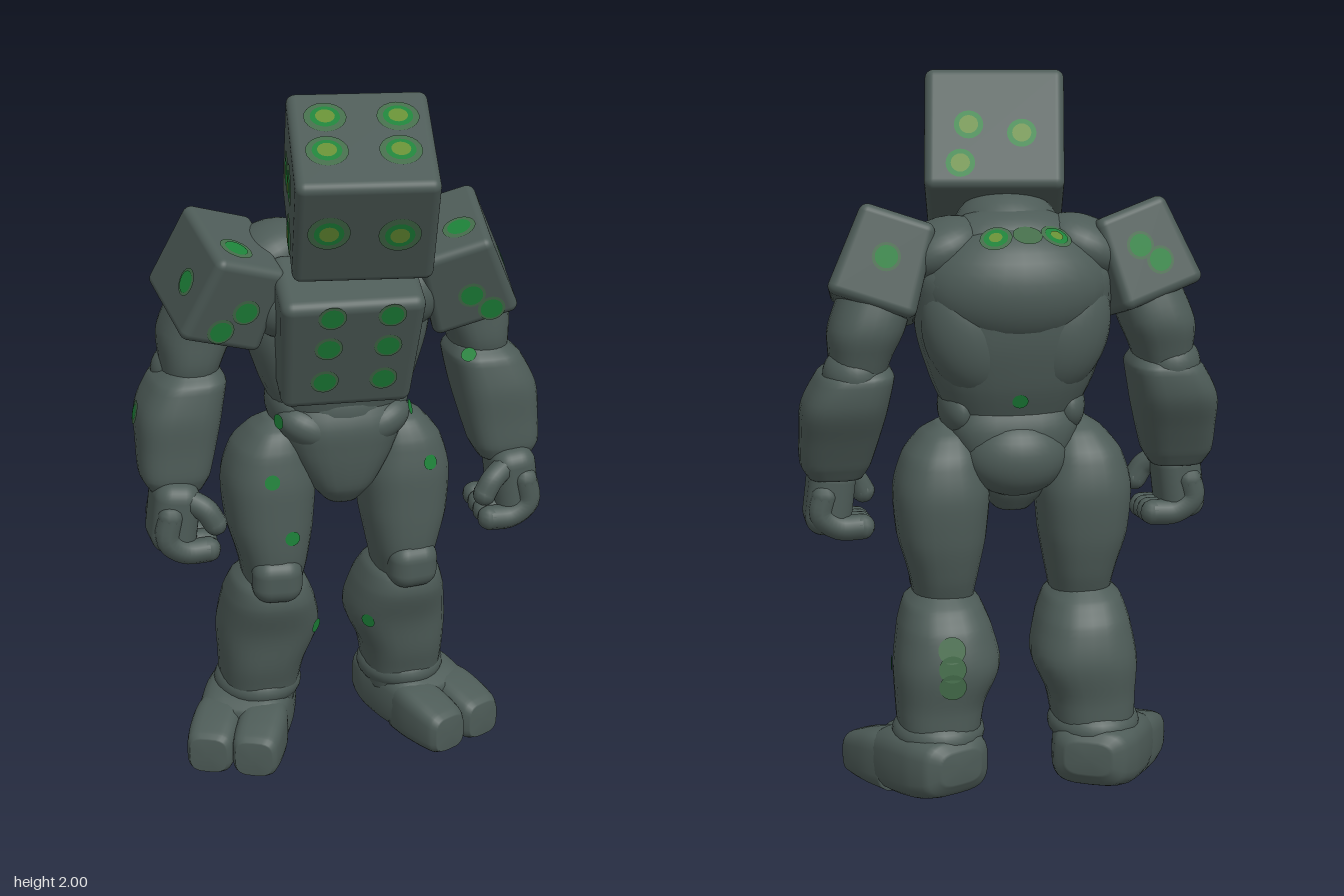
import * as THREE from 'three';
import { RoundedBoxGeometry } from 'three/addons/geometries/RoundedBoxGeometry.js';

const material = (name, color) => Object.assign(new THREE.MeshStandardMaterial({ color }), { name });

export function createModel() {
  const root = new THREE.Group();
  root.name = 'diceGolem';
  const stone = material('stone', 0x4d5b57);
  const glow = material('pipGlow', 0x446c4a);
  const green = material('pipGreen', 0x1d8239);
  const core = material('pipCore', 0x668e34);

  const add = (name, geometry, parent = root, mat = stone) => {
    const mesh = new THREE.Mesh(geometry, mat);
    mesh.name = name;
    parent.add(mesh);
    return mesh;
  };

  // Smooth body along y; sections rise as [y, cx, cz, rx, rz], n sets how boxy they are
  const loft = (sections, n = 2.5, around = 28) => {
    const centres = new THREE.CatmullRomCurve3(sections.map(s => new THREE.Vector3(s[1], s[0], s[2])));
    const radii = new THREE.CatmullRomCurve3(sections.map(s => new THREE.Vector3(s[3], s[4], 0)));
    const rings = (sections.length - 1) * 5;
    const pos = [], idx = [];
    const soft = v => Math.sign(v) * Math.abs(v) ** (2 / n);
    for (let i = -1; i <= rings + 1; i++) {
      const t = Math.min(Math.max(i / rings, 0), 1);
      const c = centres.getPoint(t), r = radii.getPoint(t);
      const k = i < 0 || i > rings ? 0 : 1; // closed ends
      for (let j = 0; j < around; j++) {
        const a = j / around * Math.PI * 2;
        pos.push(c.x + k * r.x * soft(Math.cos(a)), c.y, c.z + k * r.y * soft(Math.sin(a)));
      }
    }
    for (let i = 0; i < rings + 2; i++) {
      for (let j = 0; j < around; j++) {
        const a = i * around + j, b = i * around + (j + 1) % around;
        idx.push(a, a + around, b, b, a + around, b + around);
      }
    }
    const g = new THREE.BufferGeometry();
    g.setAttribute('position', new THREE.Float32BufferAttribute(pos, 3));
    g.setIndex(idx);
    g.computeVertexNormals();
    return g;
  };

  const blob = (name, p, r, tilt = 0) => {
    const mesh = add(name, new THREE.SphereGeometry(1, 28, 18));
    mesh.position.set(...p);
    mesh.scale.set(...r);
    mesh.rotation.z = tilt;
  };

  // Rounded block whose width changes with height by the given taper
  const block = (name, size, p, rot, radius = 0.025, taper = 0) => {
    const g = new RoundedBoxGeometry(...size, 4, radius);
    const v = g.attributes.position;
    for (let i = 0; i < v.count; i++) v.setX(i, v.getX(i) * (1 + v.getY(i) * taper));
    const mesh = add(name, g);
    mesh.position.set(...p);
    mesh.rotation.set(...rot, 'YXZ');
  };

  // Head and chest blocks
  block('head', [0.38, 0.345, 0.385], [0.008, 1.772, 0.11], [0.47, -0.17, 0]);
  block('chestBlock', [0.38, 0.37, 0.24], [-0.02, 1.355, 0.05], [0.39, -0.08, 0], 0.03, 0.25);

  // Torso
  blob('neck', [0, 1.57, -0.04], [0.15, 0.12, 0.15]);
  add('ribcage', loft([[1.06, 0, -0.1, 0.17, 0.12], [1.18, 0, -0.11, 0.225, 0.16], [1.33, 0, -0.12, 0.268, 0.18],
    [1.46, 0, -0.13, 0.27, 0.175], [1.56, 0, -0.12, 0.2, 0.13], [1.61, 0, -0.11, 0.1, 0.08]]));
  blob('upperBack', [0, 1.44, -0.175], [0.255, 0.17, 0.16]);
  blob('collar', [0, 1.55, -0.11], [0.2, 0.1, 0.13]);
  blob('abdomen', [0, 1.09, -0.09], [0.185, 0.13, 0.13]);
  add('pelvis', loft([[0.81, 0, -0.09, 0.05, 0.08], [0.86, 0, -0.09, 0.095, 0.115], [0.96, 0, -0.1, 0.155, 0.145],
    [1.05, 0, -0.1, 0.185, 0.15], [1.13, 0, -0.1, 0.17, 0.12]], 2.8));
  blob('buttocks', [0, 0.97, -0.19], [0.14, 0.11, 0.1]);

  for (const s of [1, -1]) {
    const side = s > 0 ? 'left' : 'right';
    const limb = (name, sections, n) =>
      add(side + name, loft(sections.map(([y, x, ...r]) => [y, x * s, ...r]), n));

    blob(side + 'Pectoral', [0.19 * s, 1.43, -0.01], [0.085, 0.1, 0.085]);
    blob(side + 'BackMuscle', [0.13 * s, 1.32, -0.19], [0.125, 0.18, 0.105], -0.3 * s);
    blob(side + 'Trapezius', [0.2 * s, 1.54, -0.12], [0.13, 0.08, 0.12], -0.4 * s);
    blob(side + 'HipRidge', [0.1 * s, 1.045, -0.03], [0.1, 0.06, 0.075], 0.45 * s);
    blob(side + 'WaistMuscle', [0.15 * s, 1.1, -0.11], [0.055, 0.08, 0.11]);

    // Arm
    block(side + 'ShoulderBlock', [0.23, 0.26, 0.315], [0.342 * s, 1.492, -0.07], [0.28, -0.12 * s, 0.32 * s], 0.025, -0.7);
    limb('UpperArm', [[1.17, 0.43, -0.12, 0.07, 0.09], [1.25, 0.42, -0.12, 0.085, 0.115],
      [1.34, 0.4, -0.13, 0.105, 0.125], [1.45, 0.36, -0.11, 0.1, 0.12], [1.52, 0.33, -0.1, 0.07, 0.08]]);
    limb('Forearm', [[0.9, 0.485, -0.05, 0.075, 0.07], [0.94, 0.485, -0.055, 0.098, 0.09],
      [1.02, 0.475, -0.075, 0.11, 0.11], [1.12, 0.46, -0.1, 0.118, 0.135], [1.2, 0.432, -0.11, 0.105, 0.13],
      [1.235, 0.42, -0.11, 0.075, 0.095]], 3);
    blob(side + 'Elbow', [0.44 * s, 1.21, -0.15], [0.085, 0.08, 0.09]);

    // Half-closed hand
    block(side + 'Palm', [0.13, 0.21, 0.18], [0.5 * s, 0.835, -0.015], [0, 0, 0.12 * s], 0.05);
    const digit = (name, pts, r) => {
      const v = pts.map(([x, y, z]) => new THREE.Vector3(x * s, y, z));
      add(name, new THREE.TubeGeometry(new THREE.CatmullRomCurve3(v), 14, r, 10));
      for (const end of [v[0], v.at(-1)]) {
        add(name + 'End', new THREE.SphereGeometry(r, 10, 8)).position.copy(end);
      }
    };
    for (let f = 0; f < 4; f++) {
      const z = 0.057 - f * 0.047, d = f * 0.006;
      digit(side + 'Finger', [[0.52, 0.85, z], [0.528, 0.78 + d, z], [0.48, 0.742 + d, z], [0.415, 0.74 + d, z]], 0.036);
    }
    digit(side + 'Thumb', [[0.47, 0.89, 0.035], [0.42, 0.86, 0.06], [0.395, 0.82, 0.065]], 0.034);

    // Leg
    limb('Thigh', [[0.54, 0.195, -0.11, 0.08, 0.1], [0.63, 0.195, -0.11, 0.097, 0.135], [0.74, 0.2, -0.12, 0.123, 0.15],
      [0.86, 0.2, -0.125, 0.133, 0.152], [0.97, 0.197, -0.12, 0.108, 0.13], [1.03, 0.185, -0.11, 0.07, 0.09],
      [1.06, 0.18, -0.11, 0.03, 0.04]]);
    block(side + 'KneePad', [0.145, 0.14, 0.15], [0.2 * s, 0.595, -0.03], [0.05, 0.12 * s, 0], 0.05);
    limb('Shin', [[0.13, 0.22, -0.19, 0.1, 0.11], [0.2, 0.22, -0.19, 0.115, 0.125], [0.28, 0.215, -0.18, 0.125, 0.138],
      [0.39, 0.195, -0.177, 0.148, 0.155], [0.49, 0.197, -0.148, 0.13, 0.16], [0.55, 0.2, -0.13, 0.107, 0.135],
      [0.585, 0.2, -0.13, 0.07, 0.09]]);
    blob(side + 'AnkleCuff', [0.222 * s, 0.19, -0.195], [0.13, 0.075, 0.14]);

    // Foot turned outward, with two broad toes sloping to the front
    const foot = new THREE.Group();
    foot.name = side + 'Foot';
    foot.position.set(0.272 * s, 0, -0.14);
    foot.rotation.y = 0.44 * s;
    root.add(foot);
    const along = sections => loft(sections, 3.4).rotateX(Math.PI / 2);
    add('heel', along([[-0.222, 0, -0.125, 0.065, 0.045], [-0.195, 0, -0.12, 0.105, 0.08], [-0.13, 0, -0.113, 0.128, 0.096],
      [-0.04, 0, -0.105, 0.136, 0.101], [0.05, 0, -0.092, 0.132, 0.09], [0.1, 0, -0.08, 0.1, 0.07]]), foot);
    for (const k of [-0.068, 0.068]) {
      add('toe', along([[0, k, -0.088, 0.062, 0.085], [0.07, k, -0.084, 0.073, 0.083], [0.14, k, -0.074, 0.073, 0.074],
        [0.19, k, -0.065, 0.067, 0.064], [0.212, k, -0.062, 0.054, 0.052]]), foot);
    }
  }

  // Pips are thin discs laid onto whichever surface a ray meets first
  root.updateMatrixWorld(true);
  const body = [...root.children];
  const casts = {
    front: (x, y) => [[x, y, 3], [0, 0, -1]],
    back: (x, y) => [[x, y, -3], [0, 0, 1]],
    left: (z, y) => [[3, y, z], [-1, 0, 0]],
    right: (z, y) => [[-3, y, z], [1, 0, 0]],
    top: (x, z) => [[x, 4, z], [0, -1, 0]],
  };
  const pips = (from, spots, layers) => {
    for (const [u, v] of spots) {
      const [o, d] = casts[from](u, v);
      const hit = new THREE.Raycaster(new THREE.Vector3(...o), new THREE.Vector3(...d)).intersectObjects(body, true)[0];
      if (!hit) continue;
      const n = hit.face.normal.clone()
        .applyNormalMatrix(new THREE.Matrix3().getNormalMatrix(hit.object.matrixWorld)).normalize();
      layers.forEach(([mat, r], i) => {
        const disc = add(mat.name, new THREE.CircleGeometry(r, 20), root, mat);
        disc.position.copy(hit.point).addScaledVector(n, 0.003 + i * 0.002);
        disc.lookAt(disc.position.clone().add(n));
      });
    }
  };
  const large = [[glow, 0.057], [green, 0.04], [core, 0.026]];
  const medium = [[glow, 0.039], [green, 0.031]];
  const small = [[green, 0.022]];

  // Head
  pips('top', [[-0.085, 0.1], [0.105, 0.135], [-0.11, 0.215], [0.08, 0.25]], large);
  pips('top', [[-0.035, -0.08], [0.105, -0.045], [0.135, -0.09]], [[green, 0.04], [core, 0.026]]);
  pips('front', [[-0.12, 1.7], [0.065, 1.69]], large);
  pips('left', [[0.22, 1.775], [0.11, 1.825], [0.165, 1.655]], large);
  pips('left', [[0.02, 1.725]], [[glow, 0.04], [green, 0.02]]);
  pips('right', [[0.05, 1.81], [0.14, 1.8], [0.11, 1.655]], large);
  // Chest and shoulders
  pips('front', [1.445, 1.345, 1.235].flatMap(y => [[-0.095, y], [0.068, y]]), medium);
  pips('left', [[0.14, 1.36]], small);
  pips('front', [[-0.37, 1.385], [-0.3, 1.435], [0.34, 1.43], [0.4, 1.385]], medium);
  pips('top', [[-0.315, 0.03], [0.32, 0.015]], [[glow, 0.047], [green, 0.033]]);
  pips('left', [[0, 1.51]], medium);
  pips('right', [[0, 1.51]], medium);
  pips('back', [[-0.335, 1.55], [-0.39, 1.51], [0.355, 1.54]], medium);
  // Back
  pips('top', [[-0.1, -0.235], [0.065, -0.25]], [[glow, 0.044], [green, 0.033], [core, 0.018]]);
  pips('top', [[-0.02, -0.25]], [[glow, 0.04]]);
  pips('back', [[0, 1.14]], small);
  // Limbs and hips
  pips('front', [[-0.19, 1.075], [0.19, 1.08], [0.245, 0.915], [-0.22, 0.905], [-0.165, 0.73],
    [0.365, 1.22], [0.085, 0.4], [-0.075, 0.4]], small);
  pips('left', [[-0.135, 0.37]], small);
  pips('right', [[-0.1, 1.11]], [[glow, 0.034], [green, 0.022]]);
  pips('back', [[0.2, 0.46], [0.2, 0.41], [0.2, 0.36]], [[glow, 0.038]]);

  return root;
}
